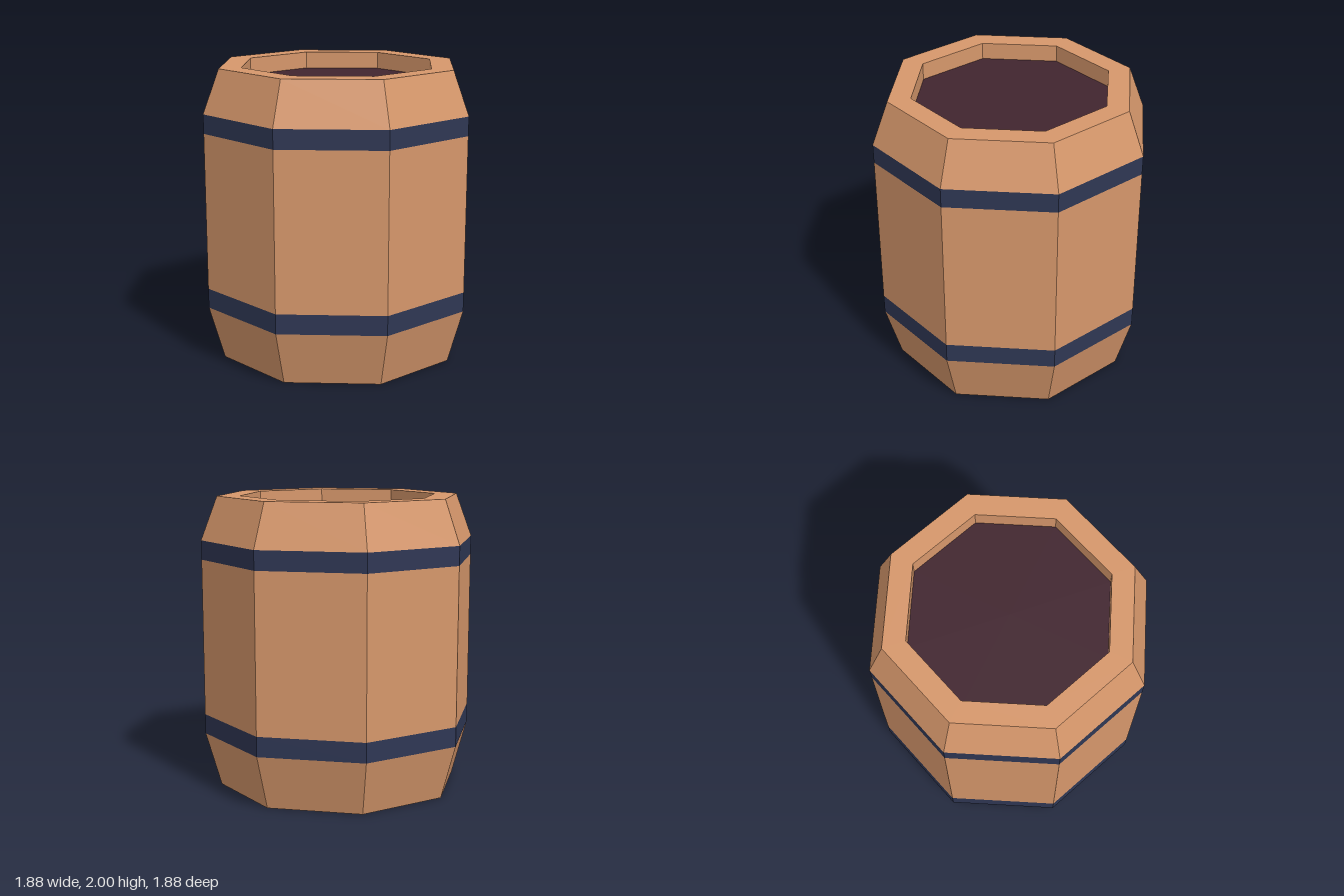
import * as THREE from 'three';

function material(name, color) {
  const m = new THREE.MeshStandardMaterial({ color, flatShading: true });
  m.name = name;
  return m;
}

export function createModel() {
  const wood = material('wood', 0xd6976b);
  const band = material('navyBand', 0x2f3754);
  const plum = material('darkPlum', 0x41252f);

  const barrel = new THREE.Group();
  barrel.name = 'barrel';

  // Eight-sided ring from [radius, height] points, listed from the bottom centre round to the top centre
  const ring = (name, mat, ...profile) => {
    const points = profile.map(([r, y]) => new THREE.Vector2(r, y));
    const mesh = new THREE.Mesh(new THREE.LatheGeometry(points, 8), mat);
    mesh.name = name;
    barrel.add(mesh);
  };

  // Underside: recessed wooden panel, dark recess wall and rim
  ring('bottomPanel', wood, [0, 0.2], [0.675, 0.2]);
  ring('bottomRim', plum, [0.675, 0.2], [0.675, 0], [0.83, 0]);

  // Staves and flush hoops
  ring('lowerStaves', wood, [0.83, 0], [0.936, 0.37]);
  ring('lowerHoop', band, [0.936, 0.37], [0.937, 0.505]);
  ring('middleStaves', wood, [0.937, 0.505], [0.94, 1.575]);
  ring('upperHoop', band, [0.94, 1.575], [0.941, 1.705]);
  ring('upperStaves', wood, [0.941, 1.705], [0.83, 2]);

  // Top: wooden rim and recess wall around a dark lid
  ring('topRim', wood, [0.83, 2], [0.675, 2], [0.675, 1.885]);
  ring('lid', plum, [0.675, 1.885], [0, 1.885]);

  return barrel;
}
